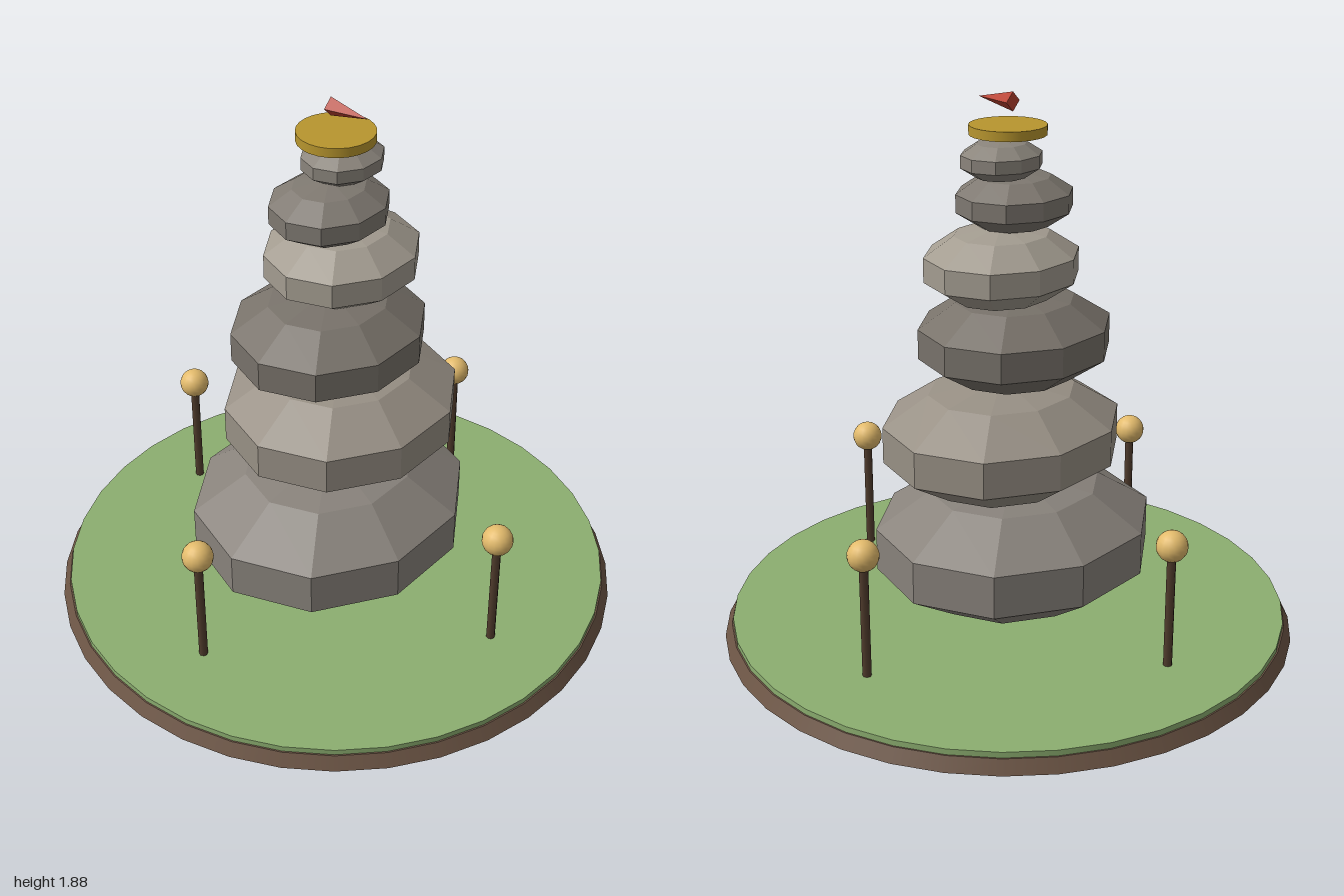
import * as THREE from 'three';

function part(name, geometry, color, flatShading = false) {
  const mesh = new THREE.Mesh(geometry, new THREE.MeshStandardMaterial({ color, flatShading }));
  mesh.name = name;
  return mesh;
}

export function createModel() {
  const model = new THREE.Group();
  model.name = 'stoneCairn';

  // Round island: sloped earth rim with a thin grass disc
  const earth = part('earthBase', new THREE.CylinderGeometry(0.975, 1, 0.045, 36), 0x6b5444);
  earth.position.y = 0.0225;
  const grass = part('grassTop', new THREE.CylinderGeometry(0.97, 0.97, 0.021, 36), 0x8cae70);
  grass.position.y = 0.0545;
  model.add(earth, grass);

  // Stacked faceted stones: x offset, centre height, radius, half height, colour
  const stones = [
    [-0.034, 0.312, 0.538, 0.243, 0x88827b],
    [0.031, 0.713, 0.452, 0.203, 0x989085],
    [-0.036, 1.047, 0.366, 0.166, 0x78726a],
    [0.031, 1.313, 0.289, 0.134, 0xa39c90],
    [-0.033, 1.519, 0.218, 0.099, 0x7f7971],
    [0.032, 1.665, 0.15, 0.068, 0x8b857c],
  ];
  stones.forEach(([x, y, radius, halfHeight, color], i) => {
    const geometry = new THREE.SphereGeometry(1, 10, 5);
    geometry.scale(radius, halfHeight, radius * 0.9);
    const stone = part(`stone${i + 1}`, geometry, color, true);
    stone.position.set(x, y, 0);
    model.add(stone);
  });

  // Gold plate and the floating pointer, tip to the front
  const plate = part('goldPlate', new THREE.CylinderGeometry(0.128, 0.128, 0.032, 24), 0xb8962e);
  plate.position.y = 1.759;
  const needle = part('pointer', new THREE.ConeGeometry(0.032, 0.147, 4).rotateX(Math.PI / 2), 0xb8402f, true);
  needle.position.set(0, 1.85, 0.0525);
  model.add(plate, needle);

  // Four lamp posts around the cairn
  for (let i = 0; i < 4; i++) {
    const lamp = new THREE.Group();
    lamp.name = `lamp${i + 1}`;
    const post = part('lampPost', new THREE.CylinderGeometry(0.015, 0.015, 0.42, 8), 0x4f3b2c);
    post.position.y = 0.27;
    const globe = part('lampGlobe', new THREE.SphereGeometry(0.053, 16, 12), 0xe3bb6c);
    globe.position.y = 0.5;
    lamp.add(post, globe);
    const angle = (i * Math.PI) / 2;
    lamp.position.set(0.7 * Math.cos(angle), 0, 0.7 * Math.sin(angle));
    model.add(lamp);
  }

  return model;
}
